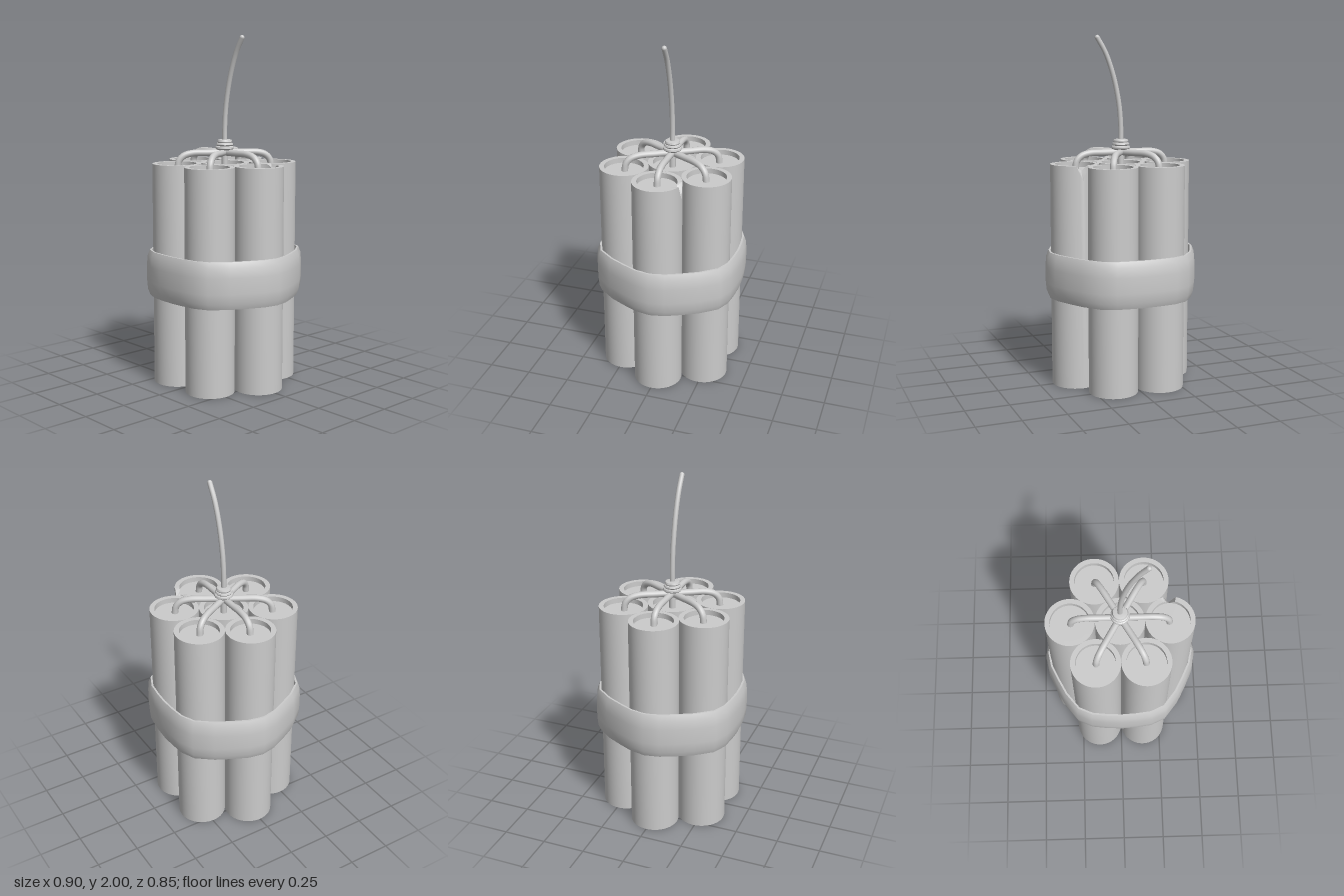
import * as THREE from 'three';
import { toCreasedNormals } from 'three/addons/utils/BufferGeometryUtils.js';

const material = new THREE.MeshStandardMaterial({ color: 0xcccccc, side: THREE.DoubleSide });
const R = 0.14, HEIGHT = 1.28, RECESS = 0.03, FUSE_Y = 1.337;

function addMesh(parent, name, geometry) {
  const mesh = new THREE.Mesh(geometry, material);
  mesh.name = name;
  parent.add(mesh);
  return mesh;
}

function lathe(points, sides, crease) {
  const g = new THREE.LatheGeometry(points.map(([x, y]) => new THREE.Vector2(x, y)), sides);
  return toCreasedNormals(g.toNonIndexed(), crease);
}

// Tube with recessed discs at both ends, optionally with a V nick in the back of its top rim
function stickGeometry(nicked) {
  const r = 0.112;
  const g = new THREE.LatheGeometry([
    [0, RECESS], [r, RECESS], [r, 0], [R, 0],
    [R, HEIGHT], [r, HEIGHT], [r, HEIGHT - RECESS], [0, HEIGHT - RECESS],
  ].map(([x, y]) => new THREE.Vector2(x, y)), 48);
  if (nicked) {
    const p = g.attributes.position;
    for (let i = 0; i < p.count; i++) {
      if (p.getY(i) < HEIGHT - 0.001 || p.getZ(i) > 0) continue;
      const depth = Math.hypot(p.getX(i), p.getZ(i)) > 0.13 ? 0.085 : RECESS;
      p.setY(i, HEIGHT - depth * Math.max(0, 1 - Math.abs(p.getX(i)) / 0.036));
    }
  }
  return toCreasedNormals(g.toNonIndexed(), 0.6);
}

// Closed strap: a bulging cross-section carried round a mirrored quarter outline
function bandGeometry() {
  const quarter = [[0.45, 0], [0.433, 0.09], [0.392, 0.18], [0.343, 0.273], [0.265, 0.37], [0.18, 0.408], [0.09, 0.42], [0, 0.425]];
  const half = [...quarter, ...quarter.slice(0, -1).reverse().map(([x, z]) => [-x, z])];
  const loop = [...half, ...half.slice(1, -1).reverse().map(([x, z]) => [x, -z])];
  const section = [[0.018, 0.778], [0.005, 0.745], [0, 0.69], [0, 0.6], [0.005, 0.545], [0.018, 0.512], [0.029, 0.512], [0.024, 0.6], [0.024, 0.69], [0.029, 0.778]];
  const positions = [], index = [], n = section.length;
  loop.forEach(([x, z], j) => {
    const len = Math.hypot(x, z), next = (j + 1) % loop.length;
    section.forEach(([inset, y], i) => {
      const s = 1 - inset / len, k = (i + 1) % n;
      positions.push(x * s, y, z * s);
      const a = j * n + i, b = next * n + i, c = j * n + k, d = next * n + k;
      index.push(a, b, c, b, d, c);
    });
  });
  const g = new THREE.BufferGeometry();
  g.setAttribute('position', new THREE.Float32BufferAttribute(positions, 3));
  g.setIndex(index);
  return toCreasedNormals(g.toNonIndexed(), 0.7);
}

// Round cord through points in the xy plane, closed by a rounded tip at its far end
function cord(parent, name, points, radius) {
  const path = points.map(([x, y]) => new THREE.Vector3(x, y, 0));
  const group = new THREE.Group();
  group.name = name;
  addMesh(group, name + 'Cord', new THREE.TubeGeometry(new THREE.CatmullRomCurve3(path), 28, radius, 12));
  const tip = addMesh(group, name + 'Tip', new THREE.SphereGeometry(radius, 12, 8));
  tip.position.copy(path[path.length - 1]);
  parent.add(group);
  return group;
}

export function createModel() {
  const model = new THREE.Group();
  model.name = 'stickBundle';

  // Centre stick and six around it, each outer one with a short fuse
  const plain = stickGeometry(false);
  addMesh(model, 'centreStick', plain);
  for (let i = 0; i < 6; i++) {
    const a = i * Math.PI / 3;
    const stick = addMesh(model, 'outerStick' + i, i === 0 ? stickGeometry(true) : plain);
    stick.position.set(2 * R * Math.cos(a), 0, 2 * R * Math.sin(a));
    const fuse = cord(model, 'shortFuse' + i,
      [[0, FUSE_Y], [0.1, FUSE_Y], [0.19, FUSE_Y - 0.001], [0.24, 1.322], [0.268, 1.293], [0.277, 1.245]], 0.019);
    fuse.rotation.y = -a;
  }
  cord(model, 'centreFuse', [[0, 1.38], [0, 1.31], [0, 1.245]], 0.019);

  // Strap
  addMesh(model, 'band', bandGeometry());

  // Stacked rings tying the fuses together
  addMesh(model, 'fuseKnot', lathe([
    [0, 1.352], [0.046, 1.352], [0.055, 1.361], [0.053, 1.371], [0.045, 1.375],
    [0.05, 1.382], [0.047, 1.39], [0.041, 1.393], [0.044, 1.4], [0.04, 1.41], [0.03, 1.412], [0, 1.412],
  ], 14, 0.7));

  // Long curved main fuse
  cord(model, 'mainFuse', [[0, 1.38], [0, 1.48], [0.011, 1.61], [0.045, 1.77], [0.092, 1.9], [0.142, 1.986]], 0.0145);
  return model;
}
